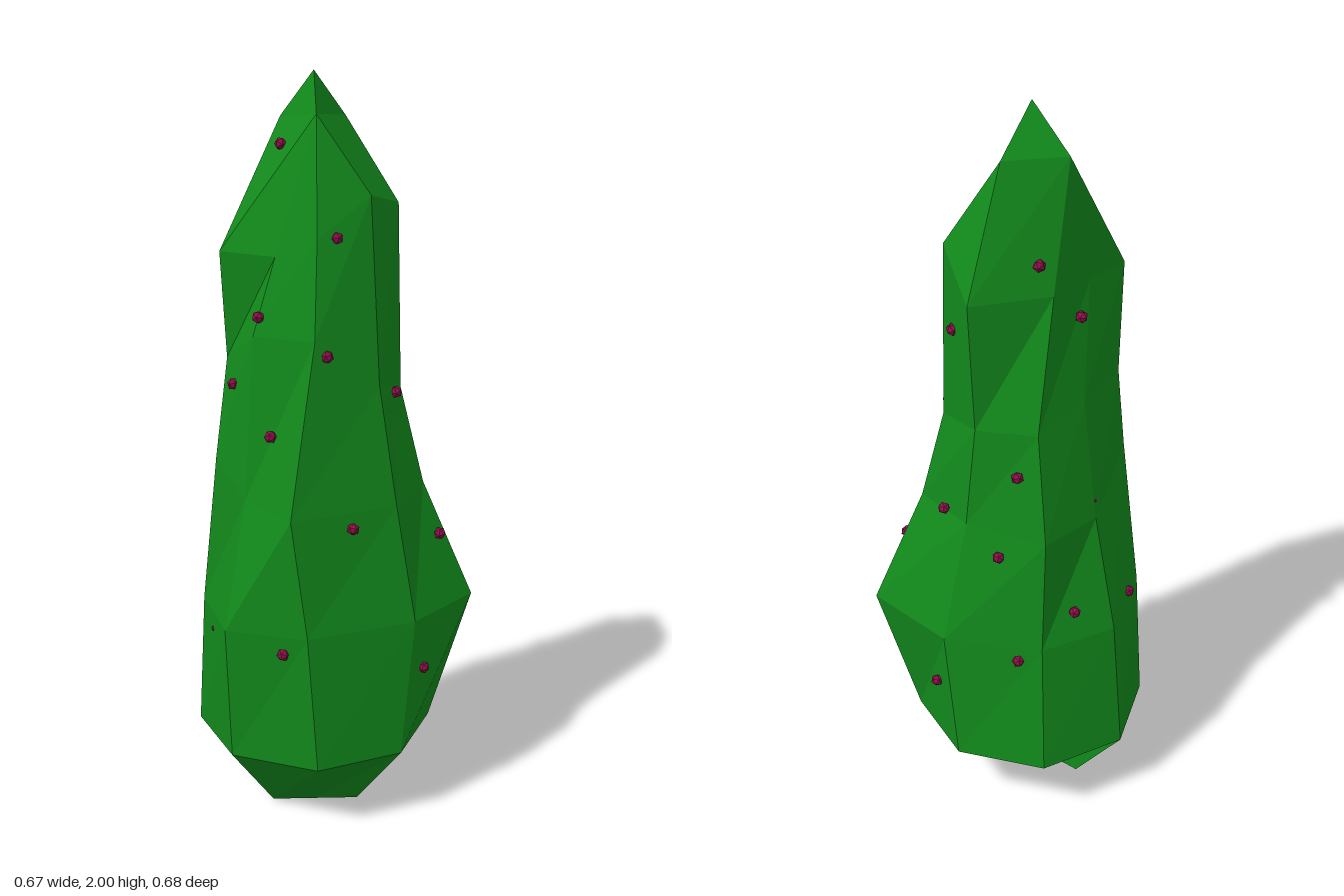
import * as THREE from 'three';

const SIDES = 8;
const CENTRE = { x: -0.01, z: -0.013 };

// Regular ring of [x, y, z] points, starting at the front and turning towards +x
function regularRing(radius, y) {
  return Array.from({ length: SIDES }, (_, i) => {
    const a = (i / SIDES) * Math.PI * 2;
    return [CENTRE.x + radius * Math.sin(a), y, CENTRE.z + radius * Math.cos(a)];
  });
}

// Base triangle, its edges split so that it has the same count as the rings
function baseRing() {
  const corners = [[-0.01, 0, 0.155], [0.155, 0, -0.013], [-0.01, 0, -0.013], [-0.18, 0, -0.013]];
  return corners.flatMap((p, i) => {
    const q = corners[(i + 1) % 4];
    return [p, p.map((v, k) => (v + q[k]) / 2)];
  });
}

// Irregular cross-sections, front first, then round towards +x
const belly = [
  [0, 0.58, 0.34], [0.2, 0.58, 0.235], [0.325, 0.58, -0.05], [0.31, 0.58, -0.31],
  [0.03, 0.58, -0.34], [-0.21, 0.58, -0.215], [-0.3, 0.58, -0.013], [-0.21, 0.58, 0.22],
];
const waist = [
  [-0.005, 0.92, 0.255], [0.16, 0.9, 0.255], [0.27, 0.9, -0.03], [0.21, 0.91, -0.21],
  [0.01, 0.92, -0.26], [-0.2, 0.9, -0.19], [-0.22, 0.9, 0], [-0.145, 1.0, 0.225],
];
const chest = [
  [-0.01, 1.35, 0.215], [0.15, 1.35, 0.155], [0.22, 1.22, -0.013], [0.15, 1.17, -0.18],
  [-0.01, 1.2, -0.24], [-0.155, 1.2, -0.165], [-0.175, 1.24, 0], [-0.165, 1.26, 0.16],
];
const shoulder = [
  [0.017, 1.55, 0.16], [0.12, 1.6, 0.115], [0.17, 1.7, -0.03], [0.12, 1.66, -0.195],
  [-0.01, 1.55, -0.26], [-0.135, 1.55, -0.08], [-0.14, 1.55, 0.06], [-0.145, 1.55, 0.2],
];
// Three crown points shared between the eight columns
const crownPoints = [[0.065, 1.9, 0.06], [-0.01, 1.88, -0.13], [-0.12, 1.88, 0]];
const crown = [0, 0, 0, 1, 1, 2, 2, 2].map((i) => crownPoints[i]);
const tip = Array(SIDES).fill([-0.01, 2, -0.01]);

// Skin consecutive rings, leaving out collapsed triangles
function loft(rings) {
  const positions = [];
  const tri = (...points) => {
    const [a, b, c] = points.map((p) => new THREE.Vector3(...p));
    if (new THREE.Triangle(a, b, c).getArea() > 1e-6) points.forEach((p) => positions.push(...p));
  };
  for (let r = 0; r < rings.length - 1; r++) {
    for (let i = 0; i < SIDES; i++) {
      const j = (i + 1) % SIDES;
      tri(rings[r][i], rings[r][j], rings[r + 1][j]);
      tri(rings[r][i], rings[r + 1][j], rings[r + 1][i]);
    }
  }
  // Flat underside
  for (let i = 1; i < SIDES - 1; i++) tri(rings[0][0], rings[0][i + 1], rings[0][i]);
  const geometry = new THREE.BufferGeometry();
  geometry.setAttribute('position', new THREE.Float32BufferAttribute(positions, 3));
  geometry.computeVertexNormals();
  return geometry;
}

const berrySpots = [
  [-0.045, 1.82, 0.075], [0.14, 1.6, 0.065], [-0.157, 1.47, 0.005], [0, 1.4, 0.205],
  [0.165, 1.31, 0.125], [-0.09, 1.21, 0.21], [0.06, 1.1, 0.225], [-0.2, 0.95, 0.005],
  [0.235, 0.86, 0.1], [-0.245, 0.6, 0.13], [-0.11, 0.53, 0.265], [0.14, 0.53, 0.265],
  [0.32, 0.43, -0.095], [0.075, 1.45, -0.22], [0.185, 1.175, -0.12], [0.085, 0.94, -0.262],
  [0.265, 0.77, -0.22], [0.08, 0.4, -0.32], [-0.105, 1.63, -0.1], [-0.115, 1.08, -0.2],
  [-0.09, 0.85, -0.25], [-0.245, 0.67, -0.12], [-0.155, 0.54, -0.25],
];

export function createModel() {
  const group = new THREE.Group();
  group.name = 'berryBush';

  // Faceted green body
  const leafMaterial = new THREE.MeshStandardMaterial({ color: 0x128a1c, flatShading: true });
  const foliage = new THREE.Mesh(
    loft([baseRing(), regularRing(0.325, 0.2), belly, waist, chest, shoulder, crown, tip]),
    leafMaterial,
  );
  foliage.name = 'foliage';
  group.add(foliage);

  // Small faceted berries, each turned differently
  const berries = new THREE.Group();
  berries.name = 'berries';
  const berryGeometry = new THREE.IcosahedronGeometry(0.017, 0);
  const berryMaterial = new THREE.MeshStandardMaterial({ color: 0x8c0f48, flatShading: true });
  berrySpots.forEach((spot, i) => {
    const berry = new THREE.Mesh(berryGeometry, berryMaterial);
    berry.name = 'berry';
    berry.position.set(...spot);
    berry.rotation.set(i * 1.3, i * 2.1, i * 0.7);
    berries.add(berry);
  });
  group.add(berries);
  return group;
}
